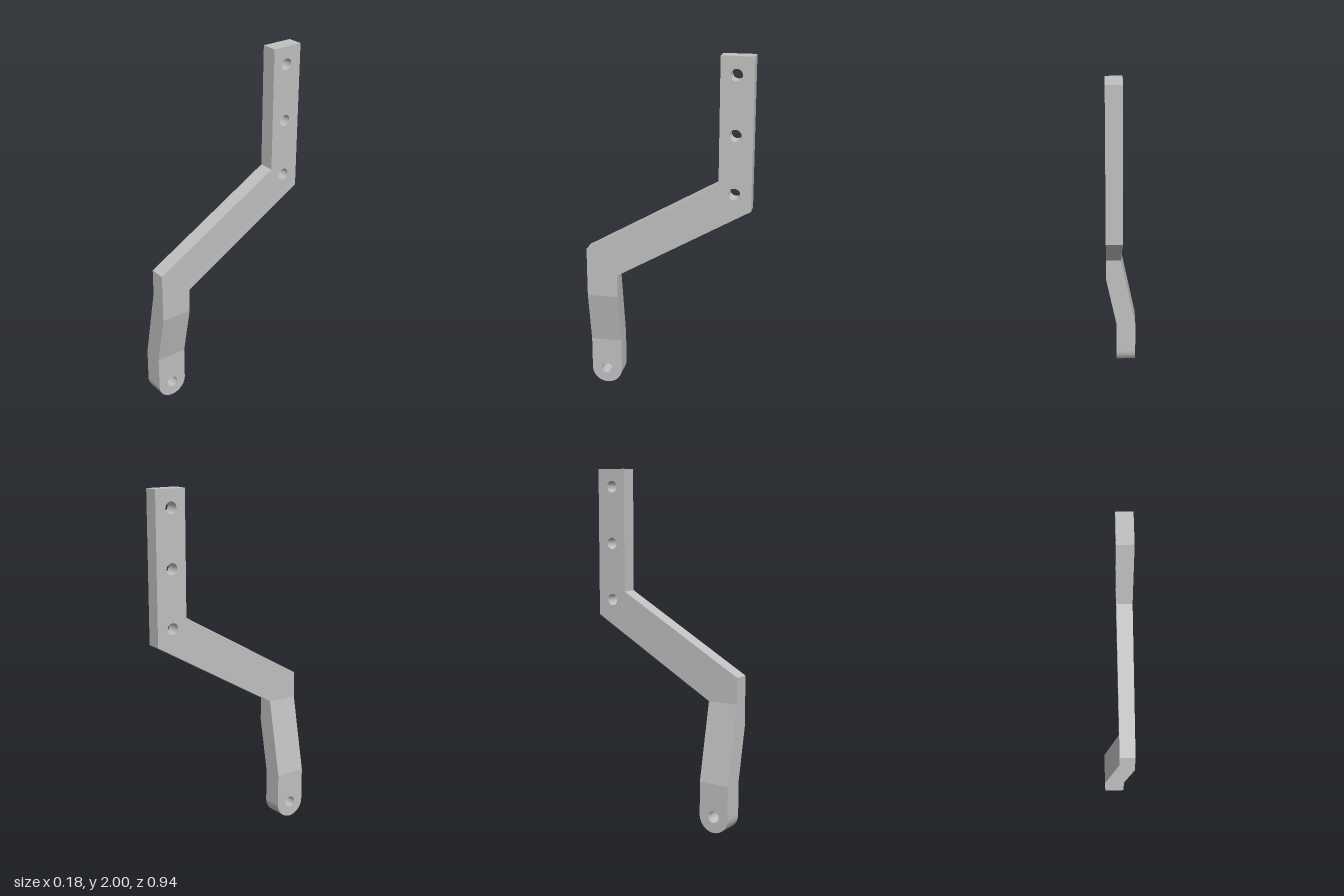
import * as THREE from 'three';

const HOLE = 0.033;

// Plate drawn in the (z, y) plane, filling x from xMin to xMax
function sidePlate(shape, holes, xMin, xMax) {
  for (const [z, y] of holes) {
    shape.holes.push(new THREE.Path().absarc(z, y, HOLE, 0, Math.PI * 2, true));
  }
  const geo = new THREE.ExtrudeGeometry(shape, {
    depth: xMax - xMin, bevelEnabled: false, curveSegments: 16,
  });
  return geo.rotateY(-Math.PI / 2).translate(xMax, 0, 0);
}

const polygon = (pts) => new THREE.Shape(pts.map(([a, b]) => new THREE.Vector2(a, b)));

export function createModel() {
  const group = new THREE.Group();
  const steel = new THREE.MeshStandardMaterial({ color: 0xc0c0c0 });
  steel.name = 'steel grey';

  const add = (name, geo) => {
    const mesh = new THREE.Mesh(geo, steel);
    mesh.name = name;
    group.add(mesh);
  };

  // Upright and slanted arm with three mounting holes
  const arm = polygon([
    [-0.47, 2], [-0.47, 1.155], [0.29, 0.72], [0.47, 0.72],
    [0.47, 0.87], [-0.288, 1.3], [-0.288, 2],
  ]);
  add('mountingArm', sidePlate(arm, [1.9, 1.575, 1.248].map((y) => [-0.375, y]), 0, 0.09));

  // Sideways joggle between arm and foot
  const joggle = polygon([
    [0, 0.72], [-0.09, 0.28], [0.027, 0.28], [0.09, 0.585], [0.09, 0.72],
  ]);
  add('joggledLeg', new THREE.ExtrudeGeometry(joggle, { depth: 0.18, bevelEnabled: false })
    .translate(0, 0, 0.29));

  // Rounded foot with pivot hole
  const foot = new THREE.Shape();
  foot.moveTo(0.47, 0.28);
  foot.lineTo(0.29, 0.28);
  foot.lineTo(0.29, 0.09);
  foot.absarc(0.38, 0.09, 0.09, Math.PI, Math.PI * 2, false);
  foot.closePath();
  add('roundedFoot', sidePlate(foot, [[0.38, 0.09]], -0.09, 0.027));

  return group;
}
